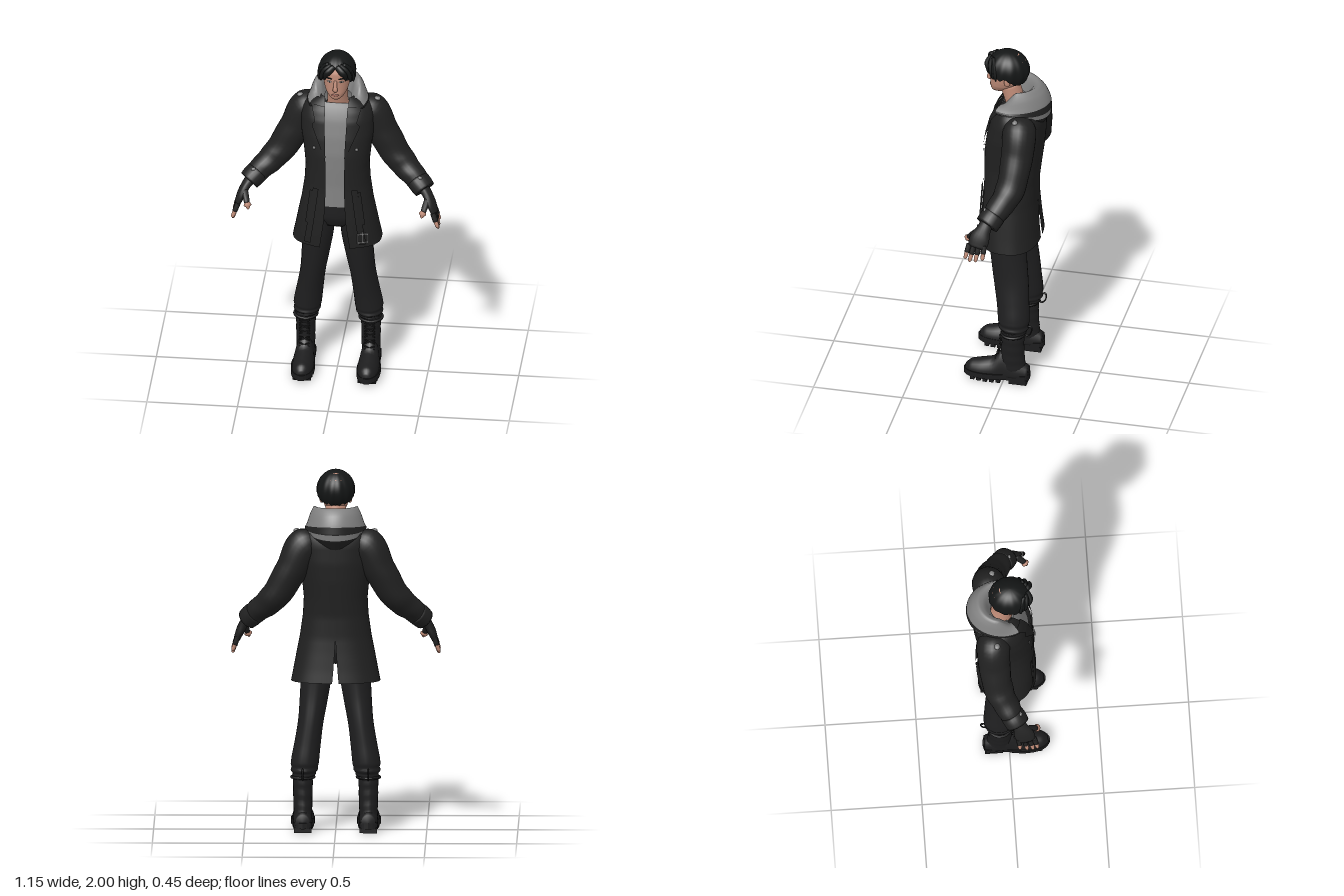
import * as THREE from 'three';

const V = (x, y, z) => new THREE.Vector3(x, y, z);
const lerp = THREE.MathUtils.lerp, sstep = THREE.MathUtils.smoothstep;

// rows x cols surface from fn(u, v); wrap closes the columns, caps closes the ends
function grid(nu, nv, fn, wrap = false, caps = false) {
  const pos = [], idx = [], cols = wrap ? nv : nv + 1;
  for (let i = 0; i <= nu; i++) for (let j = 0; j < cols; j++) pos.push(...fn(i / nu, j / nv).toArray());
  for (let i = 0; i < nu; i++) for (let j = 0; j < nv; j++) {
    const k = (j + 1) % cols, a = i * cols + j, b = i * cols + k;
    idx.push(a, b, a + cols, b, b + cols, a + cols);
  }
  if (caps) for (const row of [0, nu]) {
    const c = V(0, 0, 0), base = row * cols, n = pos.length / 3;
    for (let j = 0; j < cols; j++) c.add(V(...pos.slice((base + j) * 3, (base + j) * 3 + 3)));
    pos.push(...c.divideScalar(cols).toArray());
    for (let j = 0; j < cols; j++) {
      const a = base + j, b = base + (j + 1) % cols;
      idx.push(n, row ? a : b, row ? b : a);
    }
  }
  const g = new THREE.BufferGeometry();
  g.setAttribute('position', new THREE.Float32BufferAttribute(pos, 3));
  g.setIndex(idx);
  g.computeVertexNormals();
  return g;
}

// limb swept along points [x, y, z, a, b]; a is the radius along ref, b across it
function sweep(pts, nu = 20, nv = 18, ref = V(0, 0, 1), ripple = () => 1) {
  const path = new THREE.CatmullRomCurve3(pts.map(p => V(p[0], p[1], p[2])));
  const rad = new THREE.CatmullRomCurve3(pts.map(p => V(p[3], p[4] ?? p[3], 0)));
  return grid(nu, nv, (u, v) => {
    const T = path.getTangent(u), r = rad.getPoint(u), c = path.getPoint(u);
    const A = ref.clone().addScaledVector(T, -ref.dot(T)).normalize(), B = T.clone().cross(A);
    const t = v * Math.PI * 2, k = ripple(u, t);
    return c.addScaledVector(A, Math.cos(t) * r.x * k).addScaledVector(B, Math.sin(t) * r.y * k);
  }, true, true);
}

// linear lookup in a table whose first column is y
function look(table, y) {
  let i = 0;
  while (i < table.length - 2 && y > table[i + 1][0]) i++;
  const a = table[i], b = table[i + 1], t = THREE.MathUtils.clamp((y - a[0]) / (b[0] - a[0]), 0, 1);
  return a.map((n, k) => lerp(n, b[k], t));
}
const spow = (n, e) => Math.sign(n) * Math.abs(n) ** e;
const ringPoint = (rx, zf, zb, y, t, e) =>
  V(rx * spow(Math.sin(t), e), y, (zf + zb) / 2 + (zf - zb) / 2 * spow(Math.cos(t), e));

// coat: y, half width, front z, back z, half opening, half vent
const COAT = [
  [0.835, 0.245, 0.15, -0.17, 0.085, 0.018], [0.9, 0.232, 0.153, -0.163, 0.075, 0.012],
  [1.0, 0.213, 0.154, -0.155, 0.062, 0.005], [1.08, 0.197, 0.15, -0.15, 0.054, 0],
  [1.2, 0.18, 0.142, -0.152, 0.052, 0], [1.3, 0.175, 0.142, -0.165, 0.052, 0],
  [1.4, 0.185, 0.14, -0.178, 0.054, 0], [1.5, 0.2, 0.125, -0.187, 0.058, 0],
  [1.6, 0.203, 0.1, -0.188, 0.062, 0], [1.65, 0.19, 0.078, -0.18, 0.064, 0],
  [1.69, 0.15, 0.055, -0.155, 0.066, 0], [1.72, 0.095, 0.04, -0.11, 0.066, 0]];
const E = 0.8;
function coatZ(x, y) {
  const [, rx, zf, zb] = look(COAT, y), s = Math.min(1, Math.abs(x) / rx) ** (1 / E);
  return (zf + zb) / 2 + (zf - zb) / 2 * Math.sqrt(1 - s * s) ** E;
}
// thin cloth piece lying on the coat front; rows are [y, x0, x1]
const panel = (rows, off) => grid(24, 5, (u, v) => {
  const y = lerp(rows[0][0], rows.at(-1)[0], u), [, a, b] = look(rows, y), x = lerp(a, b, v);
  return V(x, y, coatZ(x, y) + off);
});

const HEAD = [
  [1.745, 0.004, 0.09, 0.07], [1.749, 0.026, 0.105, 0.03], [1.765, 0.042, 0.114, 0.01], [1.79, 0.06, 0.116, -0.03],
  [1.82, 0.07, 0.116, -0.06], [1.87, 0.078, 0.118, -0.08], [1.91, 0.08, 0.116, -0.088],
  [1.95, 0.072, 0.1, -0.08], [1.985, 0.035, 0.06, -0.04]];

export function createModel() {
  const model = new THREE.Group();
  const mat = (name, color, side = THREE.DoubleSide) => Object.assign(new THREE.MeshStandardMaterial({ color, side }), { name });
  const cloth = mat('coatBlack', 0x212121), pants = mat('trouserBlack', 0x1f1f20), boot = mat('bootBlack', 0x1d1d1e),
    hairM = mat('hairBlack', 0x141616), grey = mat('shirtGrey', 0x808080), skin = mat('skin', 0xc08c78),
    lipM = mat('lip', 0x9c6054), white = mat('eyeWhite', 0xc8c4c0);

  const add = (name, geo, material) => {
    const m = new THREE.Mesh(geo, material);
    m.name = name;
    model.add(m);
  };
  // adds a part and its mirror image
  const pair = (name, geo, material) => {
    add(name + 'Left', geo, material);
    const g = geo.clone().scale(-1, 1, 1);
    const id = g.index ? [...g.index.array] : [...Array(g.attributes.position.count).keys()];
    for (let i = 0; i < id.length; i += 3) [id[i], id[i + 1]] = [id[i + 1], id[i]];
    g.setIndex(id);
    g.computeVertexNormals();
    add(name + 'Right', g, material);
  };
  const ball = (sx, sy, sz, x, y, z, ry = 0) => new THREE.SphereGeometry(1, 16, 12).scale(sx, sy, sz).rotateY(ry).translate(x, y, z);
  const box = (w, h, d, x, y, z, ry = 0, rz = 0) => new THREE.BoxGeometry(w, h, d).rotateZ(rz).rotateY(ry).translate(x, y, z);

  // coat body, one half with front opening and back vent
  pair('coatBody', grid(44, 30, (u, v) => {
    const y = lerp(0.835, 1.72, u), [, rx, zf, zb, open, vent] = look(COAT, y);
    const t0 = Math.asin((open / rx) ** (1 / E)), t1 = Math.PI - Math.asin((vent / rx) ** (1 / E));
    return ringPoint(rx, zf, zb, y, lerp(t0, t1, v), E);
  }), cloth);
  pair('coatPlacket', panel([[0.835, 0.083, 0.115], [1.0, 0.06, 0.09], [1.2, 0.05, 0.08], [1.44, 0.054, 0.08]], 0.006), cloth);
  pair('lapel', panel([[1.4, 0.052, 0.058], [1.5, 0.056, 0.1], [1.58, 0.06, 0.135], [1.6, 0.06, 0.115], [1.68, 0.062, 0.14]], 0.011), cloth);
  pair('coatStrap', panel([[0.86, 0.135, 0.172], [1.0, 0.115, 0.15], [1.2, 0.09, 0.122]], 0.014), cloth);
  pair('pocketFlap', panel([[0.98, 0.15, 0.165], [1.18, 0.125, 0.14]], 0.012), cloth);
  pair('coatButton', ball(0.009, 0.009, 0.004, 0.118, 1.445, coatZ(0.118, 1.445) + 0.004), grey);

  // strap buckle, on one side only
  const frame = new THREE.Shape([[-0.032, -0.03], [0.032, -0.03], [0.032, 0.03], [-0.032, 0.03]].map(p => new THREE.Vector2(...p)));
  frame.holes.push(new THREE.Path([[-0.024, -0.022], [-0.024, 0.022], [0.024, 0.022], [0.024, -0.022]].map(p => new THREE.Vector2(...p))));
  const bz = coatZ(0.15, 0.91) + 0.022;
  add('buckleFrame', new THREE.ExtrudeGeometry(frame, { depth: 0.006, bevelEnabled: false }).rotateY(0.3).translate(0.155, 0.907, bz), grey);
  add('bucklePin', box(0.007, 0.07, 0.006, 0.155, 0.915, bz + 0.004, 0.3), grey);

  // shirt and hips
  add('shirt', grid(30, 36, (u, v) => {
    const y = lerp(1.08, 1.69, u), [, rx, zf, zb] = look(COAT, y);
    return ringPoint(rx * 0.86, zf - 0.018, zb + 0.025, y, v * Math.PI * 2, E);
  }, true), grey);
  add('trouserHips', sweep([[0, 0.935, -0.005, 0.09, 0.13], [0, 1.0, -0.005, 0.115, 0.165], [0, 1.12, -0.005, 0.115, 0.155]], 8, 28), pants);

  // sleeves with cuffs
  const fold = (u, t) => 1 + 0.025 * Math.sin(u * 34 + 2 * Math.sin(t)) * sstep(u, 0.3, 0.6);
  pair('sleeve', sweep([[0.11, 1.625, -0.075, 0.07, 0.06], [0.175, 1.585, -0.085, 0.093, 0.1], [0.237, 1.465, -0.085, 0.088, 0.09],
    [0.335, 1.305, -0.065, 0.08, 0.079], [0.415, 1.23, -0.02, 0.068, 0.066], [0.478, 1.172, 0.022, 0.062, 0.056]], 34, 22, V(0, 0, 1), fold), cloth);
  pair('sleeveCuff', sweep([[0.44, 1.208, -0.005, 0.066, 0.061], [0.462, 1.188, 0.012, 0.068, 0.063], [0.485, 1.165, 0.028, 0.066, 0.059]], 6, 22), cloth);
  pair('cuffBuckle', ball(0.012, 0.012, 0.008, 0.46, 1.245, 0.045), grey);
  pair('shoulderPatch', ball(0.018, 0.012, 0.016, 0.213, 1.672, -0.068), grey);

  // fingerless gloves and fingers
  pair('glovePalm', sweep([[0.478, 1.175, 0.028, 0.036, 0.03], [0.503, 1.14, 0.043, 0.042, 0.026],
    [0.525, 1.095, 0.06, 0.056, 0.024], [0.543, 1.05, 0.07, 0.052, 0.018]], 12, 18), cloth);
  [[0.114, 0.132, 0.985], [0.086, 0.108, 0.968], [0.058, 0.075, 0.97], [0.03, 0.035, 0.985]].forEach(([z0, z1, y1], i) => {
    const at = t => [lerp(0.538, 0.568, t), lerp(1.065, y1, t), lerp(z0, z1, t)];
    pair('gloveFinger' + i, sweep([[...at(0), 0.015], [...at(0.55), 0.0145]], 4, 10), cloth);
    pair('finger' + i, sweep([[...at(0.4), 0.012], [...at(0.75), 0.0115], [...at(0.95), 0.009], [...at(1), 0.003]], 8, 10), skin);
  });
  pair('gloveThumb', sweep([[0.507, 1.13, 0.075, 0.02], [0.492, 1.095, 0.112, 0.017], [0.486, 1.077, 0.128, 0.015]], 6, 10), cloth);
  pair('thumb', sweep([[0.488, 1.085, 0.122, 0.012], [0.48, 1.06, 0.138, 0.012], [0.477, 1.048, 0.143, 0.004]], 6, 10), skin);

  // trouser legs, bunched above the boots
  const bunch = (u, t) => 1 + 0.05 * Math.sin(u * 62 + 1.5 * Math.sin(t)) * sstep(u, 0.7, 0.85);
  pair('trouserLeg', sweep([[0.095, 1.02, -0.005, 0.11, 0.085], [0.105, 0.88, -0.005, 0.106, 0.086], [0.12, 0.74, -0.015, 0.1, 0.078],
    [0.138, 0.6, -0.032, 0.096, 0.07], [0.155, 0.48, -0.045, 0.09, 0.073], [0.168, 0.39, -0.052, 0.088, 0.077],
    [0.174, 0.335, -0.052, 0.08, 0.07], [0.176, 0.3, -0.05, 0.06, 0.053]], 56, 22, V(0, 0, 1), bunch), pants);

  // boots: shaft, foot, sole, laces
  const bx = 0.18;
  pair('bootShaft', sweep([[bx, 0.325, -0.05, 0.066, 0.056], [bx, 0.25, -0.05, 0.063, 0.054], [bx, 0.15, -0.048, 0.068, 0.052],
    [bx, 0.06, -0.05, 0.08, 0.05]], 20, 20, V(0, 0, 1), u => 1 + 0.02 * Math.sin(u * 30)), boot);
  const foot = sweep([[bx, 0.05, -0.138, 0.05, 0.04], [bx, 0.05, -0.08, 0.09, 0.052], [bx, 0.05, 0, 0.145, 0.052],
    [bx, 0.05, 0.06, 0.088, 0.06], [bx, 0.05, 0.13, 0.068, 0.06], [bx, 0.05, 0.185, 0.054, 0.047], [bx, 0.05, 0.215, 0.025, 0.022]], 28, 24, V(0, 1, 0));
  const fp = foot.attributes.position;
  for (let i = 0; i < fp.count; i++) fp.setY(i, Math.max(fp.getY(i), 0.04));
  foot.computeVertexNormals();
  pair('bootFoot', foot, boot);
  const outline = new THREE.Shape(new THREE.SplineCurve([[0, -0.147], [0.048, -0.125], [0.05, -0.03], [0.067, 0.08], [0.052, 0.18], [0, 0.226],
    [-0.05, 0.18], [-0.064, 0.08], [-0.05, -0.03], [-0.048, -0.125], [0, -0.147]].map(p => new THREE.Vector2(...p))).getPoints(40).slice(0, -1));
  pair('bootSole', new THREE.ExtrudeGeometry(outline, { depth: 0.033, bevelEnabled: false }).rotateX(Math.PI / 2).translate(bx, 0.056, 0), boot);
  pair('bootHeel', box(0.096, 0.03, 0.1, bx, 0.015, -0.085), boot);
  for (let i = 0; i < 5; i++) pair('soleLug' + i, box(0.118 - Math.abs(i - 2) * 0.008, 0.025, 0.024, bx, 0.0125 + i * 0.001, 0.025 + i * 0.036), boot);
  for (let i = 0; i < 5; i++) for (const s of [-1, 1])
    pair('lace' + i + (s > 0 ? 'A' : 'B'), box(0.06, 0.007, 0.007, bx, 0.15 + i * 0.033, 0.018 + Math.max(0, 2 - i) * 0.012, 0, s * 0.35), boot);
  pair('bootStrap', new THREE.TorusGeometry(0.062, 0.008, 8, 24).rotateX(Math.PI / 2).translate(bx, 0.3, -0.05), boot);
  pair('pullLoop', new THREE.TorusGeometry(0.024, 0.005, 8, 18).scale(0.7, 1.3, 1).rotateZ(-0.35).rotateY(Math.PI / 2).translate(bx, 0.325, -0.137), boot);

  // hood lying on the back: rx, rz, y at back, y at front ends
  const HOOD = [[0.072, 0.06, 1.71, 1.68], [0.092, 0.09, 1.785, 1.7], [0.12, 0.125, 1.81, 1.72], [0.146, 0.165, 1.775, 1.712],
    [0.163, 0.19, 1.72, 1.695], [0.17, 0.195, 1.67, 1.685], [0.165, 0.19, 1.63, 1.675], [0.125, 0.145, 1.56, 1.655]];
  const hoodAt = (r, v) => {
    const [, rx, rz, yb, yf] = look(HOOD.map((h, i) => [i, ...h]), r), p = lerp(-2.05, 2.05, v), c = Math.cos(p);
    const k = lerp(sstep(c, -0.5, 0.25), Math.max(0, c), sstep(r, 2, 4.5));
    return V(-rx * Math.sin(p), lerp(yf, yb, k), -0.03 - rz * c);
  };
  [['hoodLining', 0, 4.2, grey], ['hoodBandUpper', 4.2, 5.1, cloth], ['hoodStripe', 5.1, 5.9, grey], ['hoodBandLower', 5.9, 7, cloth]]
    .forEach(([name, a, b, m]) => add(name, grid(12, 40, (u, v) => hoodAt(lerp(a, b, u), v)), m));

  // neck, head and face
  add('neck', sweep([[0, 1.64, -0.03, 0.062, 0.064], [0, 1.7, -0.018, 0.054, 0.057], [0, 1.8, 0.01, 0.056, 0.056]], 10, 20), skin);
  add('head', grid(36, 32, (u, v) => {
    const y = lerp(1.745, 1.985, u), [, rx, zf, zb] = look(HEAD, y);
    return ringPoint(rx, zf, zb, y, v * Math.PI * 2, 0.92);
  }, true, true), skin);
  add('noseBridge', sweep([[0, 1.872, 0.112, 0.01, 0.009], [0, 1.84, 0.12, 0.012, 0.01], [0, 1.82, 0.124, 0.013, 0.014], [0, 1.811, 0.118, 0.006, 0.012]], 12, 12), skin);
  pair('ear', ball(0.01, 0.03, 0.018, 0.08, 1.845, 0.005, 0.3), skin);
  pair('eyeWhite', ball(0.014, 0.005, 0.004, 0.033, 1.866, 0.111, 0.3), white);
  pair('iris', ball(0.005, 0.005, 0.004, 0.032, 1.866, 0.113, 0.3), hairM);
  pair('brow', box(0.034, 0.005, 0.006, 0.034, 1.886, 0.112, 0.3, 0.08), hairM);
  add('lips', ball(0.021, 0.007, 0.006, 0, 1.783, 0.114), lipM);

  // hair shell with a centre parting, y of the lower edge by angle from the front
  const EDGE = [[0, 1.95], [0.3, 1.925], [0.6, 1.888], [0.95, 1.862], [1.3, 1.862], [1.7, 1.868], [2.1, 1.825], [3.15, 1.808]];
  add('hair', grid(18, 96, (u, v) => {
    const t = v * Math.PI * 2, side = Math.min(t, Math.PI * 2 - t);
    const y = look(EDGE, side)[1] + 0.005 * Math.sin(side * 17);
    const p = Math.max(0.001, u) * Math.acos((y - 1.885) / 0.114), k = 1 + 0.022 * Math.sin(side * 13 + u * 2) * u;
    return V(0.105 * Math.sin(p) * Math.sin(t) * k, 1.885 + 0.114 * Math.cos(p), 0.02 + 0.121 * Math.sin(p) * Math.cos(t) * k);
  }, true).scale(1, -1, 1).scale(1, -1, 1), hairM);
  // fringe locks sweeping away from the parting
  [[0.055, 1.888, 0.122], [0.078, 1.87, 0.098], [0.092, 1.858, 0.07]].forEach(([x, y, z], i) =>
    pair('fringeLock' + i, sweep([[0.008 + i * 0.014, 1.962, 0.112 - i * 0.01, 0.012, 0.016], [x * 0.72, 1.932, z + 0.008, 0.012, 0.019],
      [x, y + 0.02, z, 0.01, 0.014], [x + 0.003, y - 0.01, z - 0.004, 0.002, 0.002]], 12, 10), hairM));

  return model;
}
